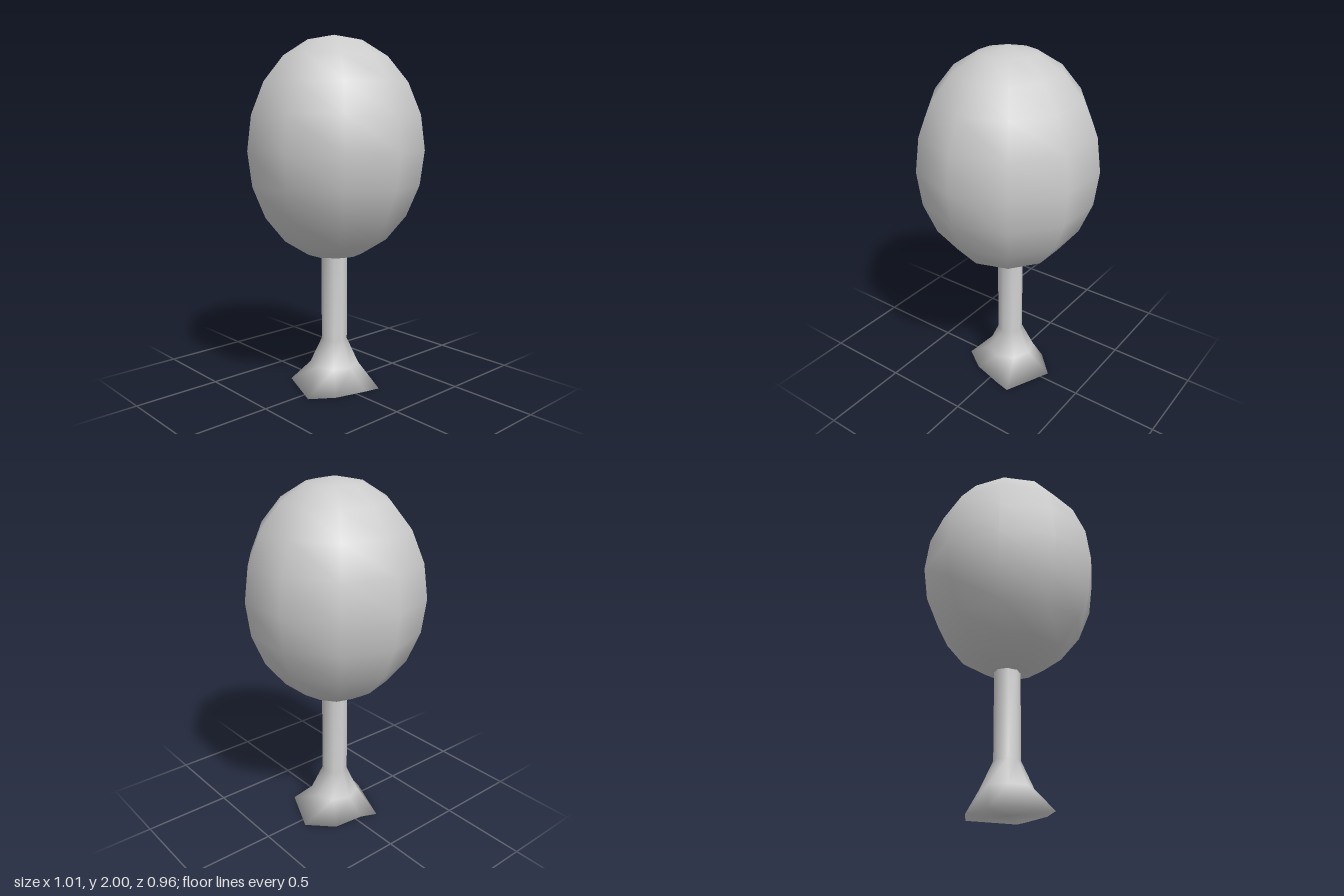
import * as THREE from 'three';

// Skin a stack of closed rings (listed bottom to top) with shared, smooth vertices
function loftRings(rings) {
  const n = rings[0].length;
  const positions = rings.flat(2);
  const index = [];
  for (let r = 0; r < rings.length - 1; r++) {
    for (let i = 0; i < n; i++) {
      const j = (i + 1) % n;
      const a = r * n + i, b = r * n + j, c = a + n, d = b + n;
      index.push(a, c, b, b, c, d);
    }
  }
  // Underside and top caps
  const bottom = positions.length / 3, top = bottom + 1;
  positions.push(0, 0, 0, -0.01, rings.at(-1)[0][1], -0.01);
  const last = (rings.length - 1) * n;
  for (let i = 0; i < n; i++) {
    const j = (i + 1) % n;
    index.push(bottom, i, j, top, last + j, last + i);
  }
  const geometry = new THREE.BufferGeometry();
  geometry.setAttribute('position', new THREE.Float32BufferAttribute(positions, 3));
  geometry.setIndex(index);
  geometry.computeVertexNormals();
  return geometry;
}

// Eight-sided ring around the slightly offset trunk axis
function trunkRing(radius, y) {
  return Array.from({ length: 8 }, (_, i) => {
    const angle = (i - 1) * Math.PI / 4;
    return [-0.01 + radius * Math.cos(angle), y, -0.01 + radius * Math.sin(angle)];
  });
}

export function createModel() {
  const group = new THREE.Group();
  group.name = 'tree';
  const material = new THREE.MeshStandardMaterial({ color: 0xcccccc });

  // Egg-shaped foliage
  const crownGeometry = new THREE.SphereGeometry(1, 10, 10);
  crownGeometry.scale(0.503, 0.62, 0.503);
  const crown = new THREE.Mesh(crownGeometry, material);
  crown.name = 'crown';
  crown.position.y = 1.38;
  group.add(crown);

  // Irregular root outline on the ground, as x and z
  const roots = [
    [0.22, -0.15], [0.2, -0.06], [0.15, 0.12], [0.06, 0.25],
    [-0.24, 0.13], [-0.2, 0.04], [-0.18, -0.14], [-0.05, -0.27],
  ].map(([x, z]) => [x, 0, z]);

  // Trunk flaring into the roots
  const trunk = new THREE.Mesh(loftRings([
    roots,
    trunkRing(0.14, 0.135),
    trunkRing(0.073, 0.28),
    trunkRing(0.073, 0.86),
  ]), material);
  trunk.name = 'trunk';
  group.add(trunk);

  return group;
}
